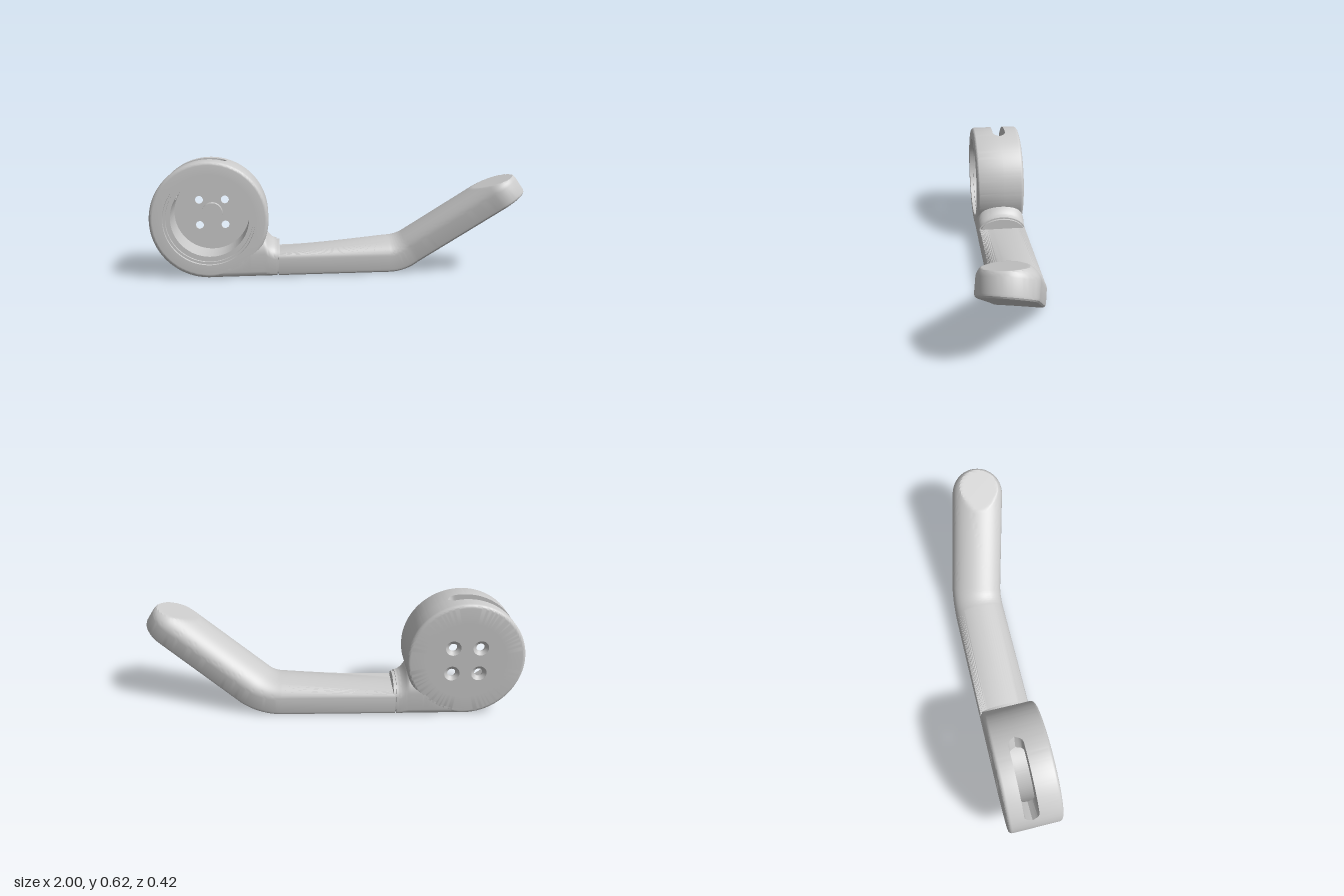
import * as THREE from 'three';
import { toCreasedNormals } from 'three/addons/utils/BufferGeometryUtils.js';

const material = new THREE.MeshStandardMaterial({ color: 0xcccccc });
const thin = new THREE.MeshStandardMaterial({ color: 0xcccccc, side: THREE.DoubleSide });
const CX = -0.69, CY = 0.31, MID_Z = -0.07;   // drum axis, middle of the bar
const BACK = -0.21, FRONT = 0.07, SLOT_Z = -0.0875;
const HALF = 0.14, SIDE = 0.09, TOP = 0.18;   // bar cross-section

function addMesh(parent, name, geometry, mat = material) {
  const mesh = new THREE.Mesh(geometry, mat);
  mesh.name = name;
  parent.add(mesh);
  return mesh;
}

// D-shaped cross-section: flat underside, straight flanks, arched top
function barProfile() {
  const half = [[0.12, 0], [0.13, 0.003], [0.137, 0.01], [HALF, 0.02]];
  for (let i = 0; i <= 16; i++) {
    const a = (i / 16) * Math.PI / 2;
    half.push([HALF * Math.cos(a), SIDE + (TOP - SIDE) * Math.sin(a)]);
  }
  half[half.length - 1][0] = 0;
  const mirrored = half.slice(0, -1).reverse().map(([w, h]) => [-w, h]);
  return [[0, 0], ...half, ...mirrored];
}

// Skin a list of closed rings of Vector3 and cap both ends
function loft(rings) {
  const n = rings[0].length, pos = [], index = [];
  rings.forEach(r => r.forEach(p => pos.push(p.x, p.y, p.z)));
  for (let i = 0; i < rings.length - 1; i++) {
    for (let j = 0; j < n; j++) {
      const a = i * n + j, b = i * n + (j + 1) % n;
      index.push(a, a + n, b, b, a + n, b + n);
    }
  }
  [0, rings.length - 1].forEach(i => {
    const c = new THREE.Vector3();
    rings[i].forEach(p => c.addScaledVector(p, 1 / n));
    const k = pos.length / 3;
    pos.push(c.x, c.y, c.z);
    for (let j = 0; j < n; j++) {
      const a = i * n + j, b = i * n + (j + 1) % n;
      index.push(k, i ? b : a, i ? a : b);
    }
  });
  const g = new THREE.BufferGeometry();
  g.setAttribute('position', new THREE.Float32BufferAttribute(pos, 3));
  g.setIndex(index);
  return toCreasedNormals(g, 0.45);
}

// Revolved ring about z; the edge lying at SLOT_Z is pushed aside to open the slot
function slottedRing(profile, side) {
  const g = new THREE.LatheGeometry(profile.map(p => new THREE.Vector2(...p)), 240);
  g.rotateX(Math.PI / 2);
  const p = g.attributes.position, r = 0.0375;
  const middle = THREE.MathUtils.degToRad(114), halfLength = 0.222;
  for (let i = 0; i < p.count; i++) {
    if (Math.abs(p.getZ(i) - SLOT_Z) > 1e-5) continue;
    const along = Math.abs(Math.atan2(p.getY(i), p.getX(i)) - middle) * 0.31;
    const e = Math.max(0, along - (halfLength - r));
    if (e < r) p.setZ(i, SLOT_Z + side * Math.sqrt(r * r - e * e));
  }
  return toCreasedNormals(g, 0.5);
}

function roundedCorner(z, sign) {
  const pts = [];
  for (let i = 0; i <= 5; i++) {
    const a = (i / 5) * Math.PI / 2;
    pts.push([0.29 + 0.02 * Math.cos(a), z + sign * (0.02 * Math.sin(a) - 0.02)]);
  }
  return pts;
}

function createDrum() {
  const drum = new THREE.Group();
  drum.name = 'drum';
  drum.position.set(CX, CY, 0);

  addMesh(drum, 'drumBackWall', slottedRing([
    [0.207, BACK], ...roundedCorner(BACK, -1).reverse(),
    [0.31, SLOT_Z], [0.207, SLOT_Z], [0.207, BACK]], -1));
  // Front wall with a stepped, grooved mouth
  addMesh(drum, 'drumFrontWall', slottedRing([
    [0.207, SLOT_Z], [0.31, SLOT_Z], ...roundedCorner(FRONT, 1),
    [0.24, FRONT], [0.24, 0.05], [0.228, 0.05], [0.228, 0.035], [0.238, 0.035],
    [0.238, 0.015], [0.207, 0.015], [0.207, SLOT_Z]], 1));

  // Floor in two layers, so the screw holes can be countersunk from behind
  const corners = [[-1, -1], [1, -1], [1, 1], [-1, 1]].map(c => c.map(v => v * 0.071));
  const floorLayer = (name, holeRadius, z, depth) => {
    const shape = new THREE.Shape().absarc(0, 0, 0.208, 0, Math.PI * 2);
    corners.forEach(([x, y]) =>
      shape.holes.push(new THREE.Path().absarc(x, y, holeRadius, 0, Math.PI * 2, true)));
    const g = new THREE.ExtrudeGeometry(shape, { depth, bevelEnabled: false, curveSegments: 32 });
    addMesh(drum, name, g).position.z = z;
  };
  floorLayer('floorBack', 0.04, BACK, 0.013);
  floorLayer('floorFront', 0.022, BACK + 0.013, 0.012);
  corners.forEach(([x, y]) => {
    const sink = new THREE.CylinderGeometry(0.022, 0.04, 0.013, 32, 1, true).rotateX(Math.PI / 2);
    addMesh(drum, 'countersink', sink, thin).position.set(x, y, BACK + 0.0065);
  });
  const boss = new THREE.CylinderGeometry(0.057, 0.057, 0.04, 40).rotateX(Math.PI / 2);
  addMesh(drum, 'centreBoss', boss).position.z = -0.166;
  return drum;
}

// Neck: fills the corner under the drum and flares up into its wall
function createNeckGeometry() {
  const rings = [], steps = 48, end = -0.337;
  for (let i = 0; i <= steps; i++) {
    const x = CX + (end - CX) * i / steps, dx = x - CX;
    const limit = dx < 0.28 ? CY - Math.sqrt(0.28 ** 2 - dx * dx) : CY;
    const u = THREE.MathUtils.clamp((x + 0.4) / 0.06, 0, 1);
    const flare = 1 + 0.35 * (1 - u) ** 2;
    rings.push(barProfile().map(([w, h]) =>
      new THREE.Vector3(x, Math.min(h * flare, limit), MID_Z + w)));
  }
  return loft(rings);
}

// Lever: straight bar, bend up and forward, rounded end with a flat thumb rest
function createLeverGeometry() {
  const profile = barProfile(), rings = [];
  const pitch = THREE.MathUtils.degToRad(34), yaw = THREE.MathUtils.degToRad(15);
  const at = new THREE.Vector3(-0.33, 0, MID_Z);
  const frame = t => {
    const p = pitch * t, q = yaw * t;
    return {
      along: new THREE.Vector3(Math.cos(p) * Math.cos(q), Math.sin(p), Math.cos(p) * Math.sin(q)),
      up: new THREE.Vector3(-Math.sin(p) * Math.cos(q), Math.cos(p), -Math.sin(p) * Math.sin(q)),
      across: new THREE.Vector3(-Math.sin(q), 0, Math.cos(q)),
    };
  };
  const ring = (f, turn = 0) => rings.push(profile.map(([w, h]) => {
    const v = at.clone().addScaledVector(f.up, h)
      .addScaledVector(f.across, w * Math.cos(turn))
      .addScaledVector(f.along, Math.abs(w) * Math.sin(turn));
    v.y = Math.min(v.y, 0.46 + 0.33 * (v.x - 0.725)); // thumb rest plane
    return v;
  }));

  ring(frame(0));
  at.x = 0.273;
  ring(frame(0));
  const bends = 14;
  for (let i = 0; i < bends; i++) {
    at.addScaledVector(frame((i + 0.5) / bends).along, 0.2 / bends);
    ring(frame((i + 1) / bends));
  }
  const f = frame(1), length = (0.892 - at.x) / f.along.x, start = at.clone();
  for (let i = 1; i <= 36; i++) {
    at.copy(start).addScaledVector(f.along, length * i / 36);
    ring(f);
  }
  for (let i = 1; i <= 16; i++) ring(f, (i / 16) * Math.PI / 2);
  return loft(rings);
}

export function createModel() {
  const model = new THREE.Group();
  model.name = 'leverHandle';
  model.add(createDrum());
  addMesh(model, 'neck', createNeckGeometry());
  addMesh(model, 'lever', createLeverGeometry());
  // Recessed core behind the seam between neck and lever
  const core = [-0.345, -0.322].map(x => barProfile().map(([w, h]) =>
    new THREE.Vector3(x, 0.008 + h * 0.91, MID_Z + w * 0.94)));
  addMesh(model, 'seamCore', loft(core));
  return model;
}
